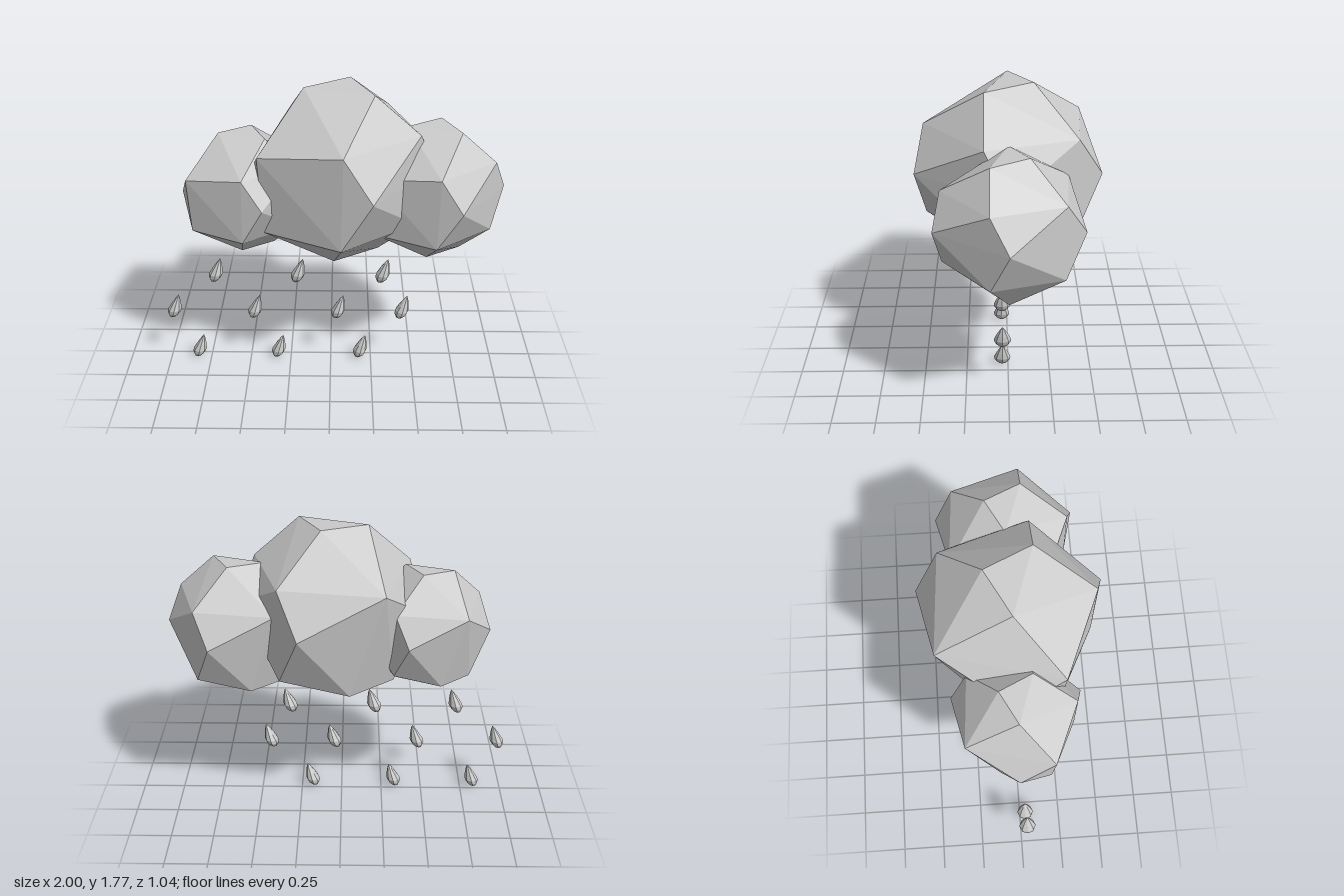
import * as THREE from 'three';
import { ConvexGeometry } from 'three/addons/geometries/ConvexGeometry.js';

const material = new THREE.MeshStandardMaterial({ color: 0xcccccc, flatShading: true });

// Corners of one faceted puff, relative to its front corner line
const PUFF = [
  // crown
  [-0.15, 1.76, 0], [0.11, 1.775, -0.14], [0.24, 1.76, 0.13],
  // upper ring
  [0.07, 1.53, 0.47], [0.5, 1.53, 0.13], [0.34, 1.53, -0.38], [-0.24, 1.51, -0.42], [-0.4, 1.45, 0.27],
  // middle
  [0.23, 1.29, 0.52], [0.59, 1.29, 0], [0.23, 1.29, -0.52], [-0.475, 1.23, -0.01],
  // lower ring
  [0.06, 0.985, 0.47], [0.49, 0.985, 0.13], [0.34, 0.985, -0.38], [-0.05, 0.89, -0.38],
  [-0.3, 0.877, -0.16], [-0.374, 0.99, 0.25],
  // base
  [0.02, 0.745, 0.14], [0.28, 0.76, 0],
].map(([x, y, z]) => new THREE.Vector3(x - 0.23, y - 1.29, z));

function createPuff(name, geometry, x, y, scale) {
  const puff = new THREE.Mesh(geometry, material);
  puff.name = name;
  puff.position.set(x, y, 0);
  puff.scale.setScalar(scale);
  return puff;
}

// Faceted teardrop, narrow from side to side, its tip leaning to +x
function dropGeometry() {
  const profile = [[0, 0], [0.026, 0.007], [0.046, 0.032], [0.05, 0.056], [0.036, 0.092], [0.017, 0.13], [0, 0.155]]
    .map(([r, y]) => new THREE.Vector2(r, y));
  const geometry = new THREE.LatheGeometry(profile, 8);
  geometry.scale(0.82, 1, 1);
  const p = geometry.attributes.position;
  for (let i = 0; i < p.count; i++) p.setX(i, p.getX(i) + (p.getY(i) - 0.05) * 0.3);
  geometry.computeVertexNormals();
  return geometry;
}

export function createModel() {
  const model = new THREE.Group();
  model.name = 'rainCloud';

  // Cloud: one puff shape at three sizes
  const cloud = new THREE.Group();
  cloud.name = 'cloud';
  const puffGeometry = new ConvexGeometry(PUFF);
  cloud.add(
    createPuff('middlePuff', puffGeometry, 0.23, 1.29, 1),
    createPuff('leftPuff', puffGeometry, 0.722, 1.175, 0.765),
    createPuff('rightPuff', puffGeometry, -0.373, 1.167, 0.69),
  );
  model.add(cloud);

  // Rain: three staggered rows
  const rain = new THREE.Group();
  rain.name = 'rain';
  const drop = dropGeometry();
  const rows = [
    { y: 0, xs: [-0.822, -0.327, 0.183] },
    { y: 0.29, xs: [-0.96, -0.465, 0.045, 0.435] },
    { y: 0.545, xs: [-0.693, -0.198, 0.312] },
  ];
  for (const { y, xs } of rows) {
    for (const x of xs) {
      const mesh = new THREE.Mesh(drop, material);
      mesh.name = 'raindrop';
      mesh.position.set(x, y, 0.035);
      rain.add(mesh);
    }
  }
  model.add(rain);
  return model;
}
